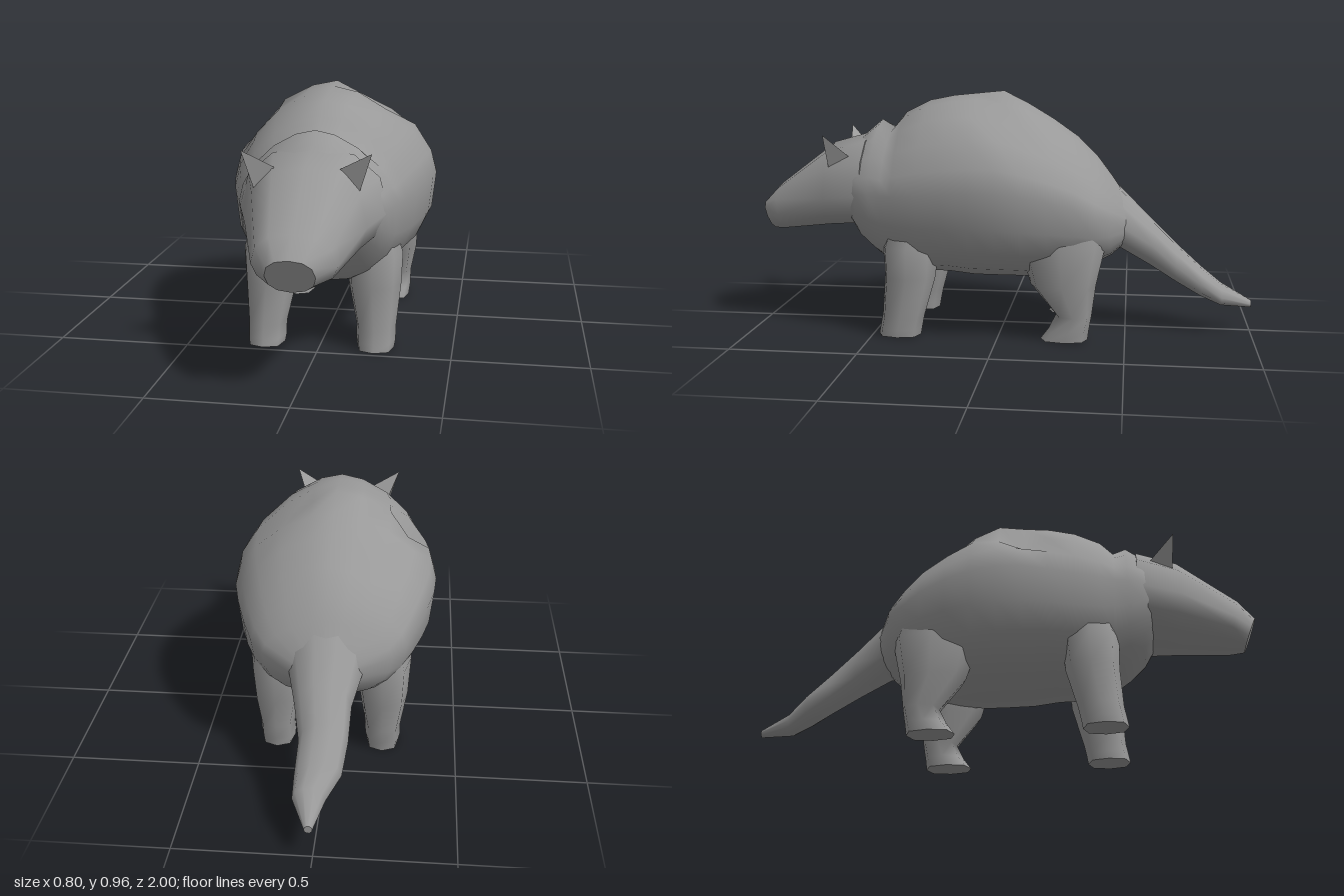
import * as THREE from 'three';
import { ConvexGeometry } from 'three/addons/geometries/ConvexGeometry.js';

const grey = new THREE.MeshStandardMaterial({ color: 0x999999, side: THREE.DoubleSide });
grey.name = 'hide grey';

// Lofts rings, front to back. Ring: [z, centreX, halfWidth, bottom, widestHeight, top, slant]
// Powers below 1 make that half boxier, above 1 more angular
function loft(rings, sides, upperPower = 1, lowerPower = upperPower, dents = []) {
  const pos = [], index = [];
  const bend = (v, p) => Math.sign(v) * Math.abs(v) ** p;
  for (const [z, cx, w, bottom, mid, top, slant = 0] of rings) {
    for (let j = 0; j < sides; j++) {
      const a = (j / sides) * Math.PI * 2;
      const p = a < Math.PI ? upperPower : lowerPower;
      const s = bend(Math.sin(a), p);
      let x = cx + w * bend(Math.cos(a), p);
      let y = mid + s * (s > 0 ? top - mid : mid - bottom);
      for (const [dx, dy, dz, radius, depth] of dents) {
        const d = Math.hypot(x - dx, y - dy, z - dz);
        if (d < radius) {
          const k = 1 - depth * (1 - d / radius);
          x *= k;
          y = mid + (y - mid) * k;
        }
      }
      pos.push(x, y, z + slant * (y - mid));
    }
  }
  const n = rings.length;
  for (let i = 0; i < n - 1; i++) {
    for (let j = 0; j < sides; j++) {
      const a = i * sides + j, b = i * sides + (j + 1) % sides;
      index.push(a, a + sides, b, b, a + sides, b + sides);
    }
  }
  // end caps with their own vertices keep a crisp rim
  for (const i of [0, n - 1]) {
    const start = pos.length / 3, [z, cx, , , mid] = rings[i];
    pos.push(cx, mid, z);
    for (let j = 0; j < sides; j++) pos.push(...pos.slice((i * sides + j) * 3, (i * sides + j) * 3 + 3));
    for (let j = 0; j < sides; j++) {
      const a = start + 1 + j, b = start + 1 + (j + 1) % sides;
      index.push(start, ...(i === 0 ? [a, b] : [b, a]));
    }
  }
  const g = new THREE.BufferGeometry();
  g.setAttribute('position', new THREE.Float32BufferAttribute(pos, 3));
  g.setIndex(index);
  g.computeVertexNormals();
  return g;
}

// Upright limb from rings listed top to bottom: [y, centreX, halfWidth, backZ, frontZ]
function limb(rings, side) {
  const turned = rings.map(([y, cx, w, back, front]) => [y, cx * side, w, -front, -(front + back) / 2, -back]);
  return loft(turned, 8, 0.75).rotateX(-Math.PI / 2);
}

export function createModel() {
  const model = new THREE.Group();
  model.name = 'armouredAnimal';
  const add = (name, geometry) => {
    const mesh = new THREE.Mesh(geometry, grey);
    mesh.name = name;
    model.add(mesh);
  };

  // Domed shell and belly, with a neck groove and a few hollows
  add('body', loft([
    [0.6, 0, 0.23, 0.43, 0.57, 0.76],
    [0.56, 0, 0.265, 0.36, 0.57, 0.79],
    [0.5, 0, 0.285, 0.3, 0.57, 0.84],
    [0.45, 0, 0.3, 0.265, 0.57, 0.81],
    [0.4, 0, 0.32, 0.25, 0.57, 0.87],
    [0.3, 0, 0.35, 0.23, 0.58, 0.92],
    [0.2, 0, 0.375, 0.23, 0.59, 0.94],
    [0.1, 0, 0.395, 0.22, 0.6, 0.95],
    [0, 0, 0.402, 0.22, 0.6, 0.96],
    [-0.1, 0, 0.395, 0.22, 0.59, 0.91],
    [-0.2, 0, 0.37, 0.23, 0.57, 0.85],
    [-0.3, 0, 0.335, 0.25, 0.54, 0.78],
    [-0.38, 0, 0.295, 0.28, 0.5, 0.7],
    [-0.44, 0, 0.245, 0.31, 0.48, 0.62],
    [-0.5, 0, 0.12, 0.36, 0.45, 0.53],
  ], 20, 1.18, 0.85, [
    [-0.29, 0.78, 0.08, 0.13, 0.25],
    [0.17, 0.9, 0.0, 0.13, 0.2],
    [-0.16, 0.8, -0.28, 0.13, 0.2],
  ]));

  // Tapering head with a flat crown and slanted snout
  add('head', loft([
    [0.975, 0, 0.085, 0.38, 0.44, 0.5, 0.4],
    [0.91, 0, 0.145, 0.385, 0.46, 0.57, 0.2],
    [0.7, 0, 0.215, 0.405, 0.54, 0.745],
    [0.54, 0, 0.27, 0.42, 0.56, 0.79],
  ], 12, 0.88));

  // Tail drooping to a slightly crooked tip
  add('tail', loft([
    [-0.38, 0, 0.19, 0.34, 0.48, 0.66],
    [-0.48, 0, 0.14, 0.33, 0.44, 0.57],
    [-0.6, 0, 0.105, 0.26, 0.36, 0.45],
    [-0.7, -0.01, 0.09, 0.195, 0.27, 0.35],
    [-0.8, 0, 0.085, 0.14, 0.2, 0.26],
    [-0.88, 0.025, 0.06, 0.11, 0.15, 0.2],
    [-1, 0.015, 0.015, 0.1, 0.115, 0.13],
  ], 10));

  for (const side of [1, -1]) {
    const label = side > 0 ? 'left' : 'right';

    add(label + 'FrontLeg', limb([
      [0.5, 0.19, 0.07, 0.24, 0.42],
      [0.36, 0.2, 0.105, 0.24, 0.46],
      [0.24, 0.2, 0.1, 0.25, 0.455],
      [0.08, 0.21, 0.075, 0.295, 0.465],
      [0.03, 0.21, 0.075, 0.305, 0.475],
      [0, 0.21, 0.07, 0.31, 0.48],
    ], side));

    add(label + 'BackLeg', limb([
      [0.52, 0.2, 0.08, -0.38, -0.07],
      [0.38, 0.205, 0.11, -0.42, -0.08],
      [0.22, 0.21, 0.095, -0.385, -0.13],
      [0.1, 0.21, 0.07, -0.37, -0.23],
      [0.04, 0.21, 0.07, -0.36, -0.2],
      [0, 0.21, 0.065, -0.355, -0.17],
    ], side));

    // Pointed ear: front edge rises to a tip, back corner tucks into the head
    add(label + 'Ear', new ConvexGeometry([
      [0.228, 0.795, 0.69],
      [0.18, 0.645, 0.68],
      [0.115, 0.735, 0.665],
      [0.18, 0.7, 0.59],
    ].map(([x, y, z]) => new THREE.Vector3(x * side, y, z))));
  }
  return model;
}
